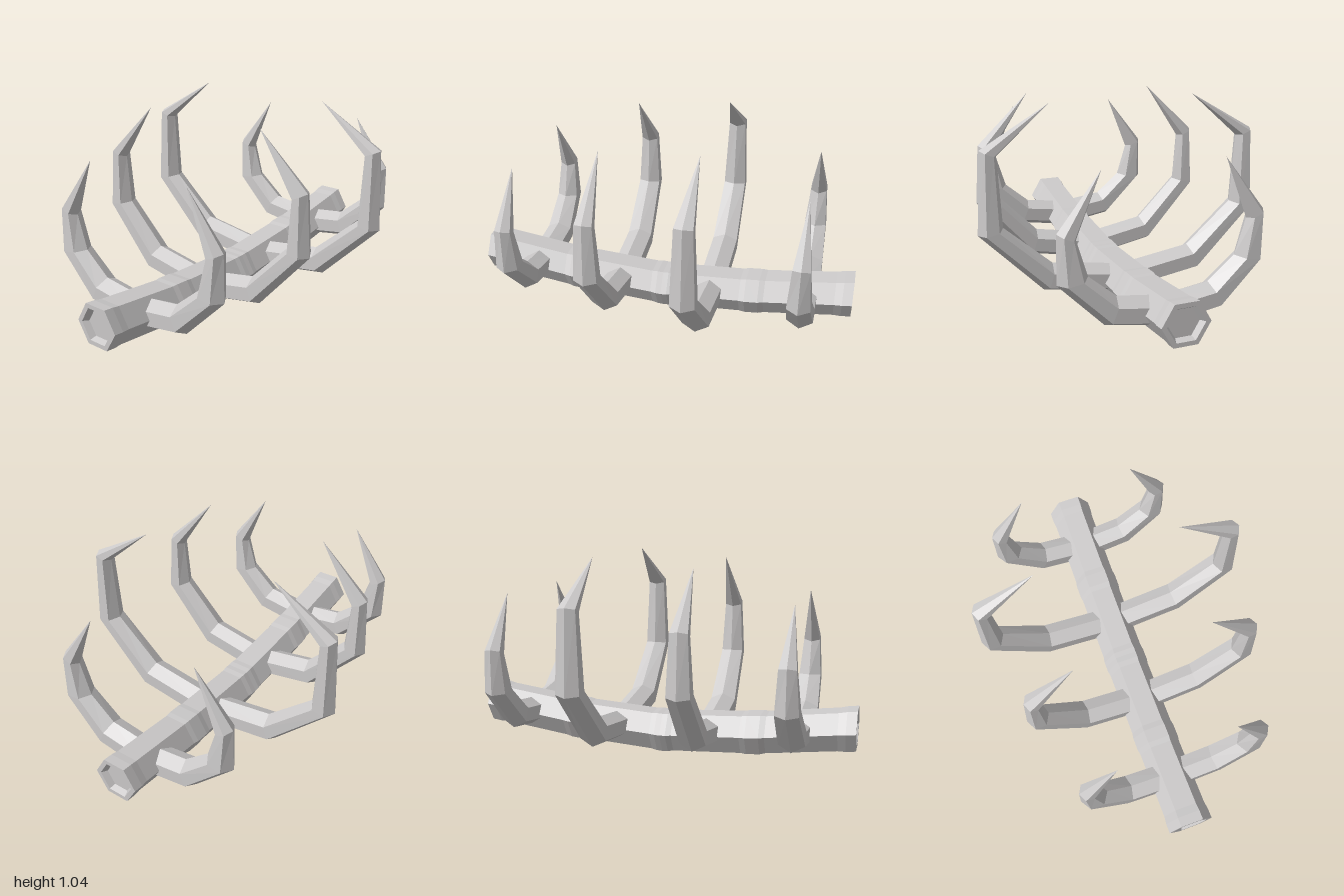
import * as THREE from 'three';

const bone = new THREE.MeshStandardMaterial({ color: 0xcccaca, flatShading: true });
bone.name = 'boneGrey';

// Skin a list of six-point rings, each ordered counter-clockwise about the direction of travel
function loft(rings, name) {
  const pos = [];
  for (let i = 0; i < rings.length - 1; i++) {
    for (let j = 0; j < 6; j++) {
      const k = (j + 1) % 6;
      const a = rings[i][j], b = rings[i][k], c = rings[i + 1][k], d = rings[i + 1][j];
      pos.push(...a, ...b, ...c, ...a, ...c, ...d);
    }
  }
  const geo = new THREE.BufferGeometry();
  geo.setAttribute('position', new THREE.Float32BufferAttribute(pos, 3));
  geo.computeVertexNormals();
  const mesh = new THREE.Mesh(geo, bone);
  mesh.name = name;
  return mesh;
}

// Height of the sagging spine's centre line
function spineY(z) {
  const t = Math.abs(z);
  return t < 0.5 ? 0.106 + 0.06 * t : 0.136 + 0.128 * (t - 0.5);
}

// Hexagonal spine with raised joints and hollowed ends
function makeSpine() {
  const half = [ // z, radius
    [0.03, 0.118], [0.06, 0.113], [0.42, 0.113], [0.45, 0.118], [0.52, 0.118],
    [0.55, 0.113], [0.91, 0.113], [0.95, 0.118], [1, 0.118],
    [1, 0.093], [0.97, 0.077], [0.97, 0],
  ];
  const profile = [...half.map(([z, r]) => [-z, r]).reverse(), [0, 0.118], ...half];
  const rings = profile.map(([z, r]) => Array.from({ length: 6 }, (_, j) => {
    const a = j * Math.PI / 3;
    return [r * Math.cos(a), spineY(z) + r * Math.sin(a), z];
  }));
  return loft(rings, 'spine');
}

// Hexagonal rib with ridges on its inner and outer side; stations: inner x, y, outer x, y, half width
function makeRib(stations, z, side, name) {
  const rings = stations.map(([ix, iy, ox, oy, w]) => {
    const at = (t, dz) => [side * (ix + (ox - ix) * t), iy + (oy - iy) * t, z + dz];
    const ring = [at(0, 0), at(0.25, w), at(0.75, w), at(1, 0), at(0.75, -w), at(0.25, -w)];
    return side > 0 ? ring : ring.reverse();
  });
  return loft(rings, name);
}

const small = [
  [0.03, 0.17, 0.03, 0.17, 0], [0.03, 0.24, 0.03, 0.09, 0.066],
  [0.225, 0.266, 0.28, 0.132, 0.066], [0.357, 0.378, 0.5, 0.356, 0.057],
  [0.41, 0.552, 0.497, 0.588, 0.042], [0.295, 0.85, 0.295, 0.85, 0],
];
const medium = [
  [0.03, 0.13, 0.03, 0.13, 0], [0.03, 0.2, 0.03, 0.053, 0.068],
  [0.305, 0.25, 0.35, 0.115, 0.067], [0.51, 0.46, 0.63, 0.436, 0.058],
  [0.532, 0.712, 0.61, 0.747, 0.044], [0.34, 1.007, 0.34, 1.007, 0],
];
const large = [
  [0.03, 0.13, 0.03, 0.13, 0], [0.03, 0.2, 0.03, 0.053, 0.068],
  [0.365, 0.25, 0.41, 0.112, 0.068], [0.605, 0.462, 0.728, 0.437, 0.06],
  [0.625, 0.815, 0.707, 0.847, 0.045], [0.365, 1.047, 0.365, 1.047, 0],
];

export function createModel() {
  const group = new THREE.Group();
  group.name = 'ribcage';
  group.add(makeSpine());

  // Four pairs of ribs, front to back
  [[small, 0.71], [medium, 0.24], [large, -0.255], [small, -0.755]].forEach(([shape, z], i) => {
    group.add(makeRib(shape, z, 1, `leftRib${i + 1}`), makeRib(shape, z, -1, `rightRib${i + 1}`));
  });
  return group;
}
